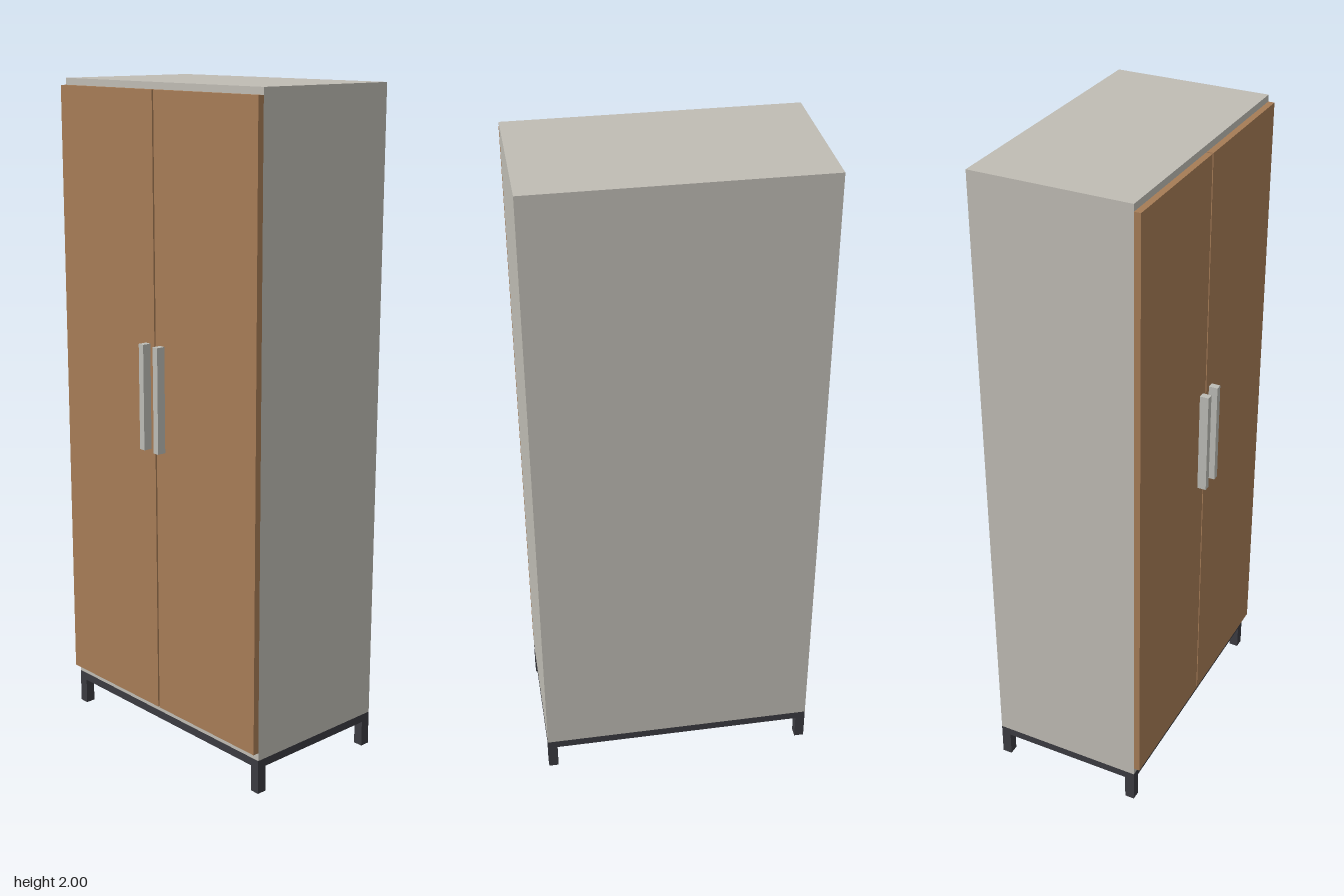
import * as THREE from 'three';

const material = (name, color) => {
  const m = new THREE.MeshStandardMaterial({ color });
  m.name = name;
  return m;
};

export function createModel() {
  const group = new THREE.Group();
  group.name = 'wardrobe';
  const body = material('warm grey', 0xbfbcb4);
  const wood = material('brown wood', 0xa67c56);
  const metal = material('handle grey', 0xbcbcb6);
  const dark = material('dark metal', 0x3b3b41);

  // Box given by its lower and upper limits on each axis
  const box = (name, mat, [x0, x1], [y0, y1], [z0, z1]) => {
    const mesh = new THREE.Mesh(new THREE.BoxGeometry(x1 - x0, y1 - y0, z1 - z0), mat);
    mesh.position.set((x0 + x1) / 2, (y0 + y1) / 2, (z0 + z1) / 2);
    mesh.name = name;
    group.add(mesh);
  };
  // Mirrors a range to the chosen side of x = 0
  const mirror = (s, a, b) => (s > 0 ? [a, b] : [-b, -a]);

  const W = 0.42, back = -0.259, front = 0.213, bar = 0.03;

  // Cabinet
  box('cabinet', body, [-W, W], [0.105, 2], [back, front]);

  for (const s of [-1, 1]) {
    const side = s > 0 ? 'left' : 'right';
    // Doors and bar handles
    box(side + 'Door', wood, mirror(s, 0.003, W), [0.13, 1.98], [front, 0.232]);
    box(side + 'Handle', metal, mirror(s, 0.021, 0.041), [0.95, 1.265], [0.232, 0.259]);
    // Base frame side rails
    box(side + 'Rail', dark, mirror(s, W - bar, W), [0.08, 0.105], [back + bar, front - bar]);
    // Legs
    box(side + 'FrontLeg', dark, mirror(s, W - bar, W), [0, 0.08], [front - bar, front]);
    box(side + 'BackLeg', dark, mirror(s, W - bar, W), [0, 0.08], [back, back + bar]);
  }

  // Base frame front and back rails
  box('frontRail', dark, [-W, W], [0.08, 0.105], [front - bar, front]);
  box('backRail', dark, [-W, W], [0.08, 0.105], [back, back + bar]);

  return group;
}
